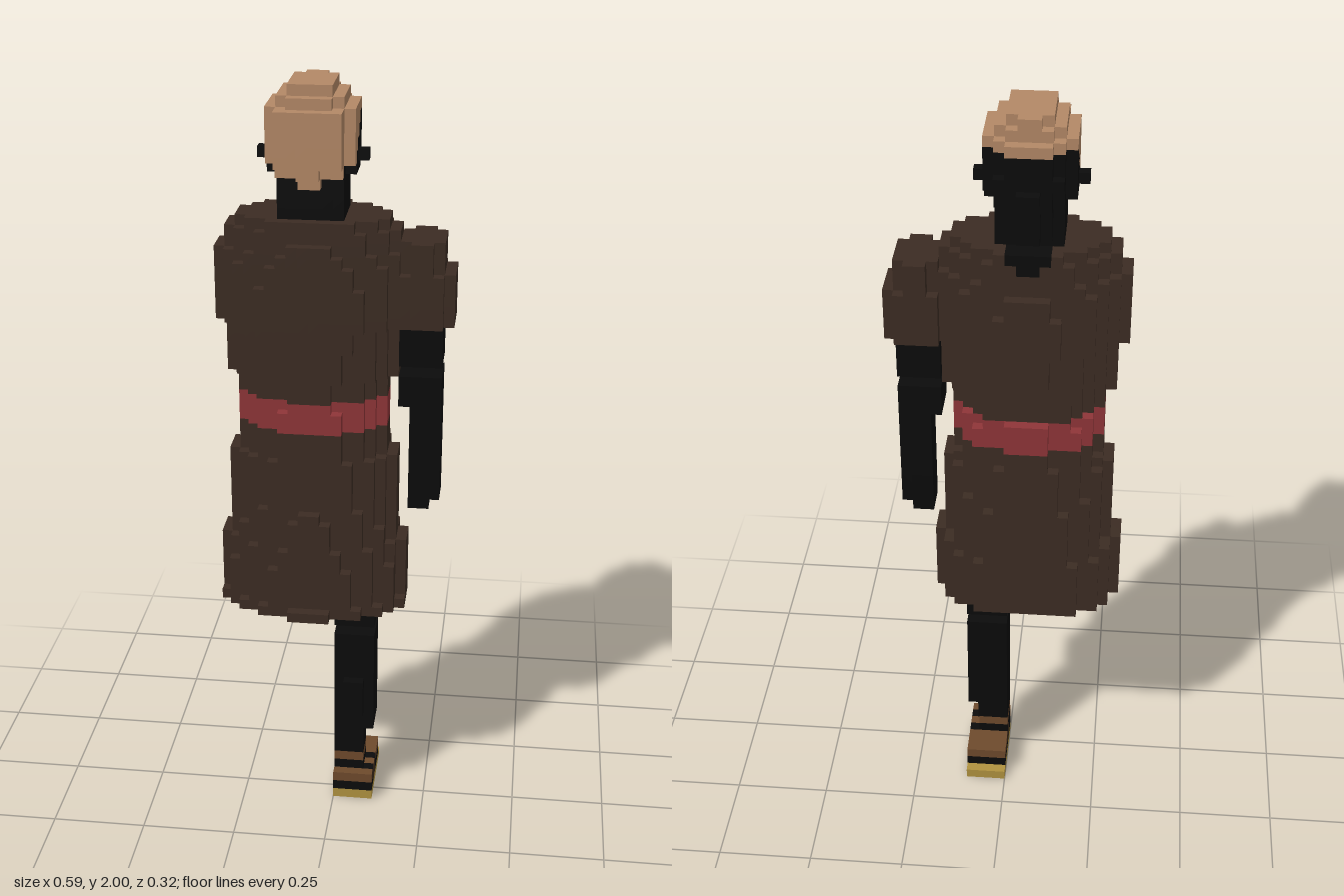
import * as THREE from 'three';

// Voxel grid: 22 x 74 x 12 cells
const V = 2 / 74, NX = 22, NZ = 12;

const mat = (name, color) => {
  const m = new THREE.MeshStandardMaterial({ color });
  m.name = name;
  return m;
};

// Piecewise-linear lookup through [position, value] pairs
function ramp(points, t) {
  if (t <= points[0][0]) return points[0][1];
  for (let n = 1; n < points.length; n++) {
    const [a, va] = points[n - 1], [b, vb] = points[n];
    if (t <= b) return va + (vb - va) * (t - a) / (b - a);
  }
  return points[points.length - 1][1];
}

// Step lookup: value of the last entry whose start is <= t
const step = (points, t) => points.filter(p => p[0] <= t).pop()[1];

export function createModel() {
  const black = mat('black', 0x0b0b0b), coat = mat('dark brown', 0x3c2c23);
  const tan = mat('tan', 0xb38866), red = mat('red', 0x8f3538);
  const gold = mat('gold', 0xb0923f), leather = mat('leather brown', 0x6e4a2c);
  const parts = {
    coat, belt: red, sleeve: coat, upperArm: black, forearm: black, neck: black, face: black,
    hair: tan, thigh: black, shin: black, foot: black, sandalStraps: leather, sandalSole: gold,
  };

  const cells = new Map();
  const key = (i, j, k) => (j * 64 + k) * 64 + i;
  const put = (part, i, j, k) => cells.set(key(i, j, k), { part, i, j, k });
  const box = (part, i0, i1, j0, j1, k0, k1) => {
    for (let j = j0; j < j1; j++)
      for (let k = k0; k < k1; k++)
        for (let i = i0; i < i1; i++) put(part, i, j, k);
  };
  // One elliptical layer with separate front and back depth
  const layer = (j, cx, cz, a, back, front, name) => {
    for (let k = 0; k < NZ; k++) {
      const d = k + 0.5 - cz, s = 1 - (d / (d < 0 ? back : front)) ** 2;
      if (s <= 0) continue;
      const h = a * Math.sqrt(s);
      for (let i = 0; i < NX; i++)
        if (Math.abs(i + 0.5 - cx) < Math.round(h)) put(name(i, k), i, j, k);
    }
  };

  // Coat and belt
  const widths = [[23, 9], [30, 8], [39, 7], [47, 8], [52, 9], [59, 8], [61, 7]];
  const fronts = [[23, 6.2], [24, 5.7], [33, 5.03], [34, 4.8], [42, 4.5], [45, 4.15], [54, 4.8], [61, 3.8]];
  const backs = [[23, 6], [44, 5.2], [45, 4.8], [48, 4.9], [49, 5.1], [53, 5.4], [57, 5.1], [58, 4.8], [61, 4.4]];
  for (let j = 23; j < 62; j++) {
    const part = j >= 42 && j < 45 ? 'belt' : 'coat';
    layer(j, 9, 5.5, step(widths, j), ramp(backs, j), ramp(fronts, j), () => part);
  }

  // Left arm with puffed sleeve
  for (let j = 52; j < 60; j++)
    layer(j, 19, 5, j < 57 ? 3 : 2.4, 3.1, 3.1, () => 'sleeve');
  box('upperArm', 17, 21, 48, 52, 3, 7);
  box('forearm', 17, 21, 44, 47, 3, 7);
  box('forearm', 18, 21, 34, 44, 3, 6);
  box('forearm', 18, 20, 33, 34, 3, 6);

  // Neck with a small opening at the collar
  box('neck', 6, 12, 62, 66, 3, 8);
  box('neck', 7, 11, 61, 62, 1, 4);
  box('neck', 8, 10, 60, 61, 1, 3);

  // Head: the hairline slopes down from the brow to the nape
  const headWidth = [[63, 3], [65, 3.3], [67, 4.2], [71, 4.2], [72, 3.4], [73, 2.4]];
  const headBack = [[63, 4.1], [66, 4.5], [68, 5], [71, 4.9], [72, 4], [73, 3.1]];
  const headFront = [[63, 2.4], [65, 3.2], [66, 4.1], [67, 5], [71, 5], [72, 4], [73, 3]];
  for (let j = 63; j < 74; j++)
    layer(j, 9, 5.5, ramp(headWidth, j), ramp(headBack, j), ramp(headFront, j), (i, k) =>
      j < Math.min(71, k >= 8 ? 66 : 74 - k) ? 'face' : 'hair');
  box('hair', 8, 10, 65, 66, 8, 9);
  // Nose, brow corners and ears
  box('face', 8, 10, 67, 68, 0, 1);
  for (const i of [7, 10]) box('face', i, i + 1, 66, 70, 1, 2);
  for (const i of [5, 12]) box('face', i, i + 1, 67, 69, 3, 5);
  for (const i of [4, 13]) box('face', i, i + 1, 67, 68, 5, 6);

  // Single left leg
  box('thigh', 11, 15, 20, 23, 3, 7);
  box('shin', 11, 15, 8, 19, 3, 7);
  box('shin', 12, 14, 10, 14, 7, 8);
  box('shin', 11, 14, 6, 8, 3, 7);
  box('shin', 11, 14, 3, 6, 4, 7);
  box('sandalStraps', 11, 14, 4, 5, 4, 7);

  // Foot and sandal
  box('foot', 11, 15, 1, 2, 1, 8);
  box('foot', 11, 15, 2, 3, 2, 8);
  box('sandalStraps', 11, 15, 2, 3, 1, 4);
  box('sandalStraps', 11, 12, 1, 3, 5, 6);
  box('sandalStraps', 14, 15, 1, 3, 5, 6);
  box('sandalStraps', 11, 15, 2, 3, 7, 8);
  box('sandalSole', 11, 15, 0, 1, 0, 8);

  // Emit only exposed voxel faces, one mesh per part
  const pos = {}, nor = {};
  for (const name in parts) { pos[name] = []; nor[name] = []; }
  for (const { part, i, j, k } of cells.values()) {
    const c = [i, j, k];
    for (let axis = 0; axis < 3; axis++) for (const s of [1, -1]) {
      const n = [0, 0, 0];
      n[axis] = s;
      if (cells.has(key(i + n[0], j + n[1], k + n[2]))) continue;
      const u = (axis + 1) % 3, v = (axis + 2) % 3;
      const loop = [[0, 0], [1, 0], [1, 1], [0, 0], [1, 1], [0, 1]];
      for (const [p, q] of loop) {
        const w = [...c];
        w[axis] += s > 0 ? 1 : 0;
        w[u] += s > 0 ? p : q;
        w[v] += s > 0 ? q : p;
        pos[part].push((w[0] - NX / 2) * V, w[1] * V, (w[2] - NZ / 2) * V);
        nor[part].push(...n);
      }
    }
  }
  const group = new THREE.Group();
  group.name = 'figure';
  for (const name in parts) {
    const g = new THREE.BufferGeometry();
    g.setAttribute('position', new THREE.Float32BufferAttribute(pos[name], 3));
    g.setAttribute('normal', new THREE.Float32BufferAttribute(nor[name], 3));
    const mesh = new THREE.Mesh(g, parts[name]);
    mesh.name = name;
    group.add(mesh);
  }
  return group;
}
